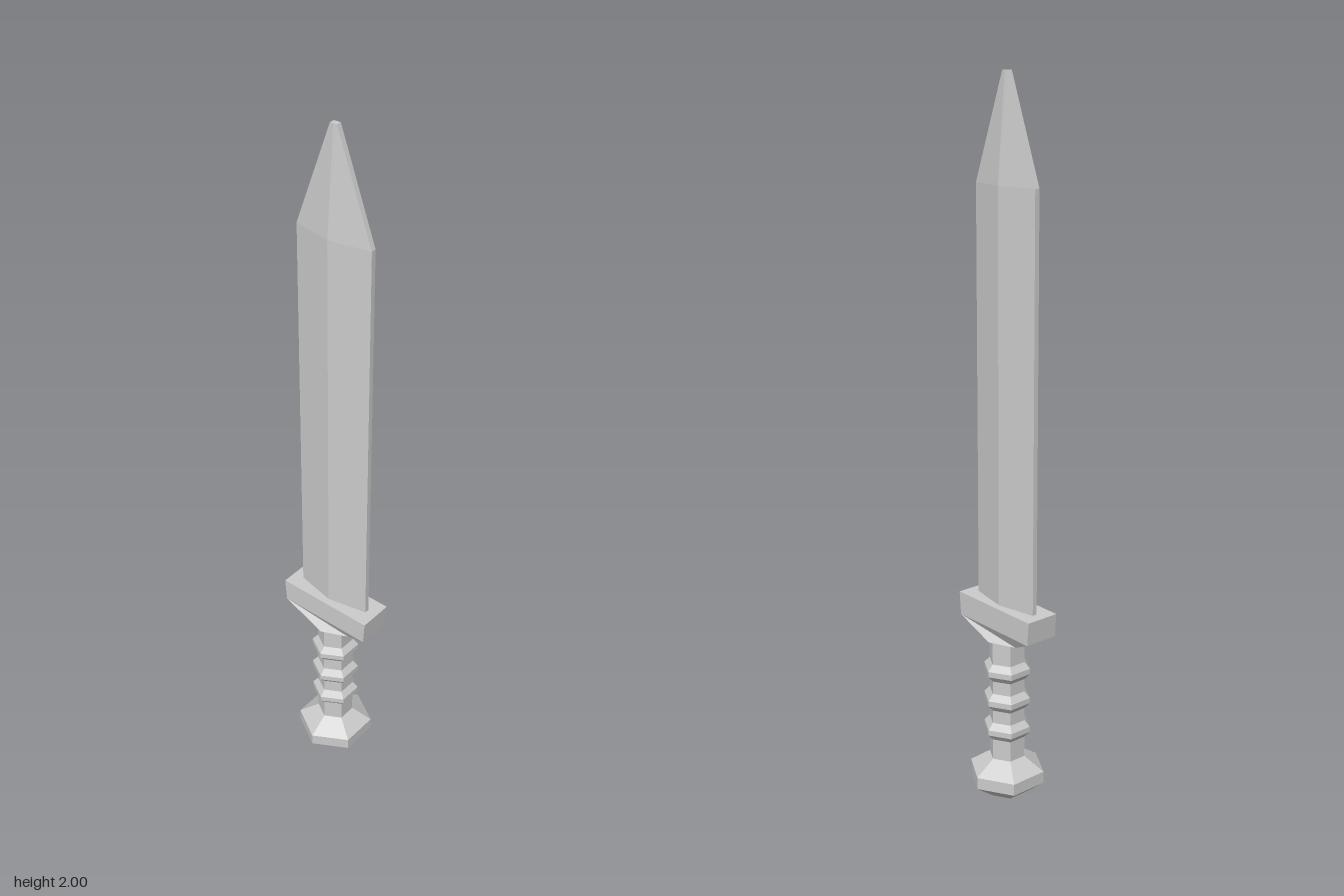
import * as THREE from 'three';

const material = new THREE.MeshStandardMaterial({ color: 0xcccccc, flatShading: true });

function mesh(name, geometry) {
  const m = new THREE.Mesh(geometry, material);
  m.name = name;
  return m;
}

// Geometry from a list of [x, y, z] corners, three per triangle
function fromCorners(corners) {
  const g = new THREE.BufferGeometry();
  g.setAttribute('position', new THREE.Float32BufferAttribute(corners.flat(), 3));
  g.computeVertexNormals();
  return g;
}

// Closed loft through rings that run anticlockwise seen from above
function loft(rings) {
  const out = [];
  const n = rings[0].length;
  for (let r = 0; r < rings.length - 1; r++) {
    const lo = rings[r], hi = rings[r + 1];
    for (let i = 0; i < n; i++) {
      const j = (i + 1) % n;
      out.push(lo[i], lo[j], hi[j], lo[i], hi[j], hi[i]);
    }
  }
  const bottom = rings[0], top = rings[rings.length - 1];
  for (let i = 1; i < n - 1; i++) {
    out.push(top[0], top[i], top[i + 1], bottom[0], bottom[i + 1], bottom[i]);
  }
  return fromCorners(out);
}

// Six-sided turned part with corners on the x axis
function hexTurned(profile) {
  const points = profile.map(([r, y]) => new THREE.Vector2(r, y));
  return new THREE.LatheGeometry(points, 6, Math.PI / 2);
}

// Blade section: thick ridge at the middle, narrow flat edges
const bladeRing = (y, ridge, edge, z) => [
  [-edge, y, z], [edge, y, z], [ridge, y, 0],
  [edge, y, -z], [-edge, y, -z], [-ridge, y, 0],
];
const boxRing = (y, x, z) => [[-x, y, z], [x, y, z], [x, y, -z], [-x, y, -z]];

// Underside of the guard, narrowing to a hexagon around the grip
function guardUnderside() {
  const frontTop = [0.05, 0.518, 0.142], backTop = [0.05, 0.518, -0.142];
  const front = [0.033, 0.484, 0.074], side = [0.066, 0.484, 0], back = [0.033, 0.484, -0.074];
  const turn = ([x, y, z]) => [-x, y, -z];
  const half = [
    front, side, frontTop, side, back, frontTop, back, backTop, frontTop,
    turn(back), front, frontTop, turn(back), frontTop, turn(backTop),
    back, side, front, back, front, turn(back),
  ];
  return fromCorners([...half, ...half.map(turn)]);
}

export function createModel() {
  const sword = new THREE.Group();
  sword.name = 'sword';

  sword.add(mesh('blade', loft([
    bladeRing(0.58, 0.03, 0.007, 0.115),
    bladeRing(1.72, 0.03, 0.007, 0.115),
    bladeRing(2, 0.008, 0.007, 0.01),
  ])));

  const guard = new THREE.Group();
  guard.name = 'guard';
  guard.add(mesh('guardBlock', loft([boxRing(0.518, 0.05, 0.142), boxRing(0.585, 0.05, 0.147)])));
  guard.add(mesh('guardUnderside', guardUnderside()));
  sword.add(guard);

  // Grip with three raised rings
  const grip = [[0.052, 0.11]];
  for (const y of [0.207, 0.297, 0.387]) {
    grip.push([0.052, y - 0.026], [0.068, y - 0.008], [0.068, y + 0.008], [0.052, y + 0.026]);
  }
  grip.push([0.052, 0.49]);
  sword.add(mesh('grip', hexTurned(grip)));

  sword.add(mesh('pommel', hexTurned([
    [0, 0], [0.055, 0.004], [0.11, 0.045], [0.11, 0.08], [0.052, 0.12], [0, 0.12],
  ])));

  return sword;
}
